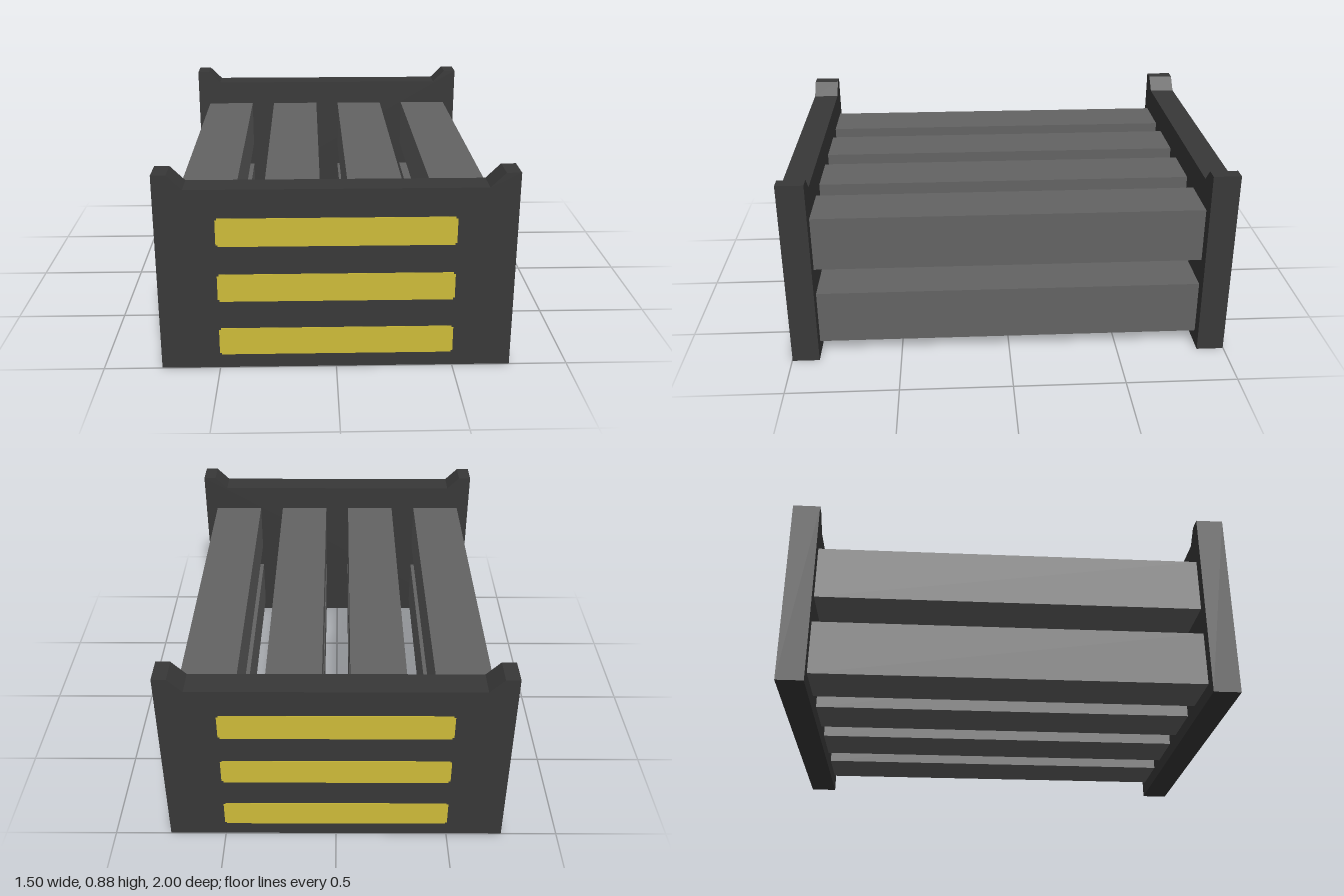
import * as THREE from 'three';

const frameMat = new THREE.MeshStandardMaterial({ name: 'charcoal', color: 0x383838 });
const beamMat = new THREE.MeshStandardMaterial({ name: 'grey', color: 0x636363 });
const stripeMat = new THREE.MeshStandardMaterial({ name: 'yellow', color: 0xcebc39 });

const SKIN = 0.002; // thickness of the painted stripes

// Extrude a polygon outline along z, centred on z = 0
function plate(points, depth) {
  const shape = new THREE.Shape(points.map(([x, y]) => new THREE.Vector2(x, y)));
  return new THREE.ExtrudeGeometry(shape, { depth, bevelEnabled: false }).translate(0, 0, -depth / 2);
}

function addMesh(parent, name, geometry, material, x, y, z) {
  const mesh = new THREE.Mesh(geometry, material);
  mesh.name = name;
  mesh.position.set(x, y, z);
  parent.add(mesh);
}

export function createModel() {
  const model = new THREE.Group();
  model.name = 'beamRack';

  // End plate with a raised, chamfered tab at each upper corner
  const panelDepth = 0.125 - SKIN;
  const panelGeo = plate([
    [-0.75, 0], [0.75, 0], [0.75, 0.875], [0.6875, 0.875],
    [0.625, 0.8125], [-0.625, 0.8125], [-0.6875, 0.875], [-0.75, 0.875],
  ], panelDepth);

  // Stripe with tiny stepped corners
  const w = 0.5, h = 0.0625, n = 0.008;
  const stripeGeo = plate([
    [-w + n, -h], [w - n, -h], [w - n, -h + n], [w, -h + n],
    [w, h - n], [w - n, h - n], [w - n, h], [-w + n, h],
    [-w + n, h - n], [-w, h - n], [-w, -h + n], [-w + n, -h + n],
  ], SKIN);

  // Matching ends, front and back, each with three stripes outside
  for (const side of [1, -1]) {
    const end = new THREE.Group();
    end.name = side > 0 ? 'frontEnd' : 'backEnd';
    addMesh(end, 'endPlate', panelGeo, frameMat, 0, 0, side * (0.875 + panelDepth / 2));
    for (const y of [0.125, 0.375, 0.625]) {
      addMesh(end, 'stripe', stripeGeo, stripeMat, 0, y, side * (1 - SKIN / 2));
    }
    model.add(end);
  }

  // Two layers of four square beams between the ends
  const beamGeo = new THREE.BoxGeometry(0.25, 0.25, 1.75);
  for (const y of [0.1875, 0.5625]) {
    for (const x of [-0.5625, -0.1875, 0.1875, 0.5625]) {
      addMesh(model, 'beam', beamGeo, beamMat, x, y, 0);
    }
  }
  return model;
}
